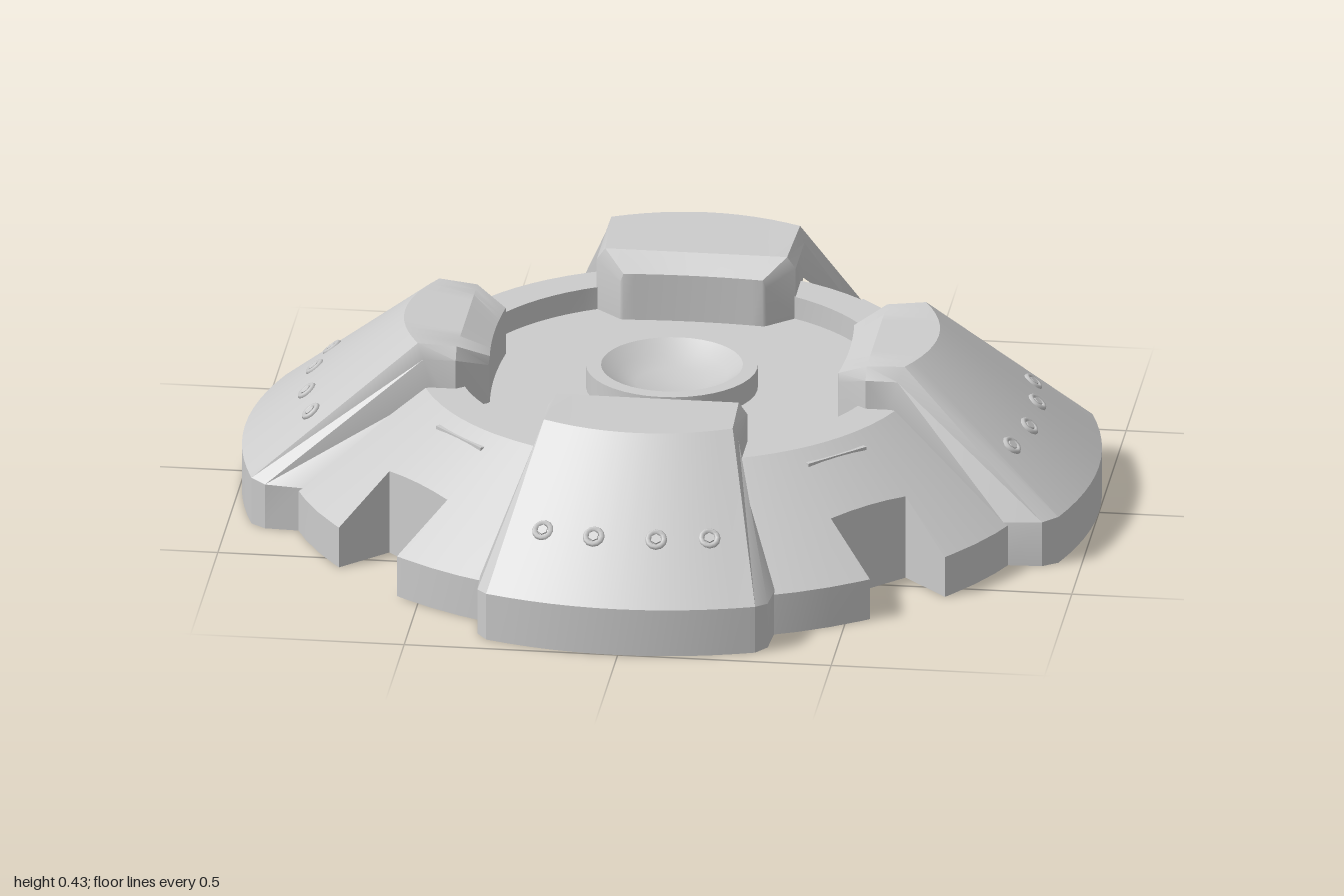
import * as THREE from 'three';
import { toCreasedNormals } from 'three/addons/utils/BufferGeometryUtils.js';

const material = new THREE.MeshStandardMaterial({ color: 0xcccccc });
const FLOOR = 0.265, RING_TOP = 0.32;
const coneY = (r) => 0.1 + (0.9 - r) * 0.71;

// Skin a grid of points: rows run along a profile, columns run across it
function skin(rows) {
  const pos = [];
  const area = (a, b, c) => b.clone().sub(a).cross(c.clone().sub(a)).length();
  const tri = (a, b, c) => {
    if (area(a, b, c) > 1e-7) for (const p of [a, b, c]) pos.push(p.x, p.y, p.z);
  };
  for (let i = 0; i < rows.length - 1; i++) {
    for (let j = 0; j < rows[i].length - 1; j++) {
      const a = rows[i][j], b = rows[i][j + 1], c = rows[i + 1][j + 1], d = rows[i + 1][j];
      tri(a, b, c);
      tri(a, c, d);
    }
  }
  const geo = new THREE.BufferGeometry();
  geo.setAttribute('position', new THREE.Float32BufferAttribute(pos, 3));
  return toCreasedNormals(geo, 0.45);
}

function add(parent, name, geometry) {
  const mesh = new THREE.Mesh(geometry, material);
  mesh.name = name;
  parent.add(mesh);
  return mesh;
}

// Conical base with a square notch on every diagonal and a sunken floor
function baseGeometry() {
  const half = 0.11, depth = 0.745, rim = 0.9;
  const midR = Math.hypot(half, depth);
  const midA = Math.atan2(half, depth), rimA = Math.asin(half / rim);
  const columns = [];
  const column = (rimAngle, rimR, midAngle, middleR) => columns.push({ rimAngle, rimR, midAngle, middleR });
  for (let q = 0; q < 4; q++) {
    const d = Math.PI / 4 + q * Math.PI / 2;
    column(d - rimA, rim, d - midA, midR);
    for (let k = 0; k <= 4; k++) {
      const a = Math.atan2(half * (k / 2 - 1), depth);
      column(d + a, depth / Math.cos(a), d + a, depth / Math.cos(a));
    }
    column(d + rimA, rim, d + midA, midR);
    const span = Math.PI / 2 - 2 * midA;
    for (let k = 0; k <= 14; k++) {
      const a = d + midA + span * k / 14;
      column(a, rim, a, midR);
    }
  }
  columns.push(columns[0]);
  const at = (a, r, y) => new THREE.Vector3(r * Math.sin(a), y, r * Math.cos(a));
  const profile = [
    (c) => at(c.midAngle, 0, 0),
    (c) => at(c.midAngle, c.middleR, 0),
    (c) => at(c.rimAngle, c.rimR, 0),
    (c) => at(c.rimAngle, c.rimR, 0.1),
    (c) => at(c.midAngle, c.middleR, coneY(c.middleR)),
    (c) => at(c.midAngle, 0.59, RING_TOP),
    (c) => at(c.midAngle, 0.5, RING_TOP),
    (c) => at(c.midAngle, 0.5, FLOOR),
    (c) => at(c.midAngle, 0, FLOOR),
  ];
  return skin(profile.map((f) => columns.map(f)));
}

// Raised buttress facing +z; top, crease and inner are radii, w is the head's half width
function buttress(top, crease, inner, w) {
  const group = new THREE.Group();
  const topY = 0.425;
  // y, radius at centre, radius at edge, half width, then shoulder and foot as [x, r, y]
  const stations = [
    [0, 0.78, 0.78, 0.3, [0.32, 0.78, 0], [0.345, 0.78, 0]],
    [0, 1, 0.945, 0.315, [0.34, 0.91, 0], [0.345, 0.82, 0]],
    [0.115, 1, 0.945, 0.315, [0.34, 0.91, 0.11], [0.345, 0.82, 0.107]],
    [topY, top, top - 0.055, w - 0.012, [w, top - 0.07, 0.39], [w, top - 0.09, 0.31]],
    [topY - 0.007, crease, crease, w - 0.02, [w, crease, 0.39], [w, crease, FLOOR]],
    [0.38, inner + 0.008, inner, w * 0.7, [w * 0.73, inner + 0.002, 0.36], [w * 0.74, inner + 0.004, FLOOR]],
    [FLOOR, inner + 0.008, inner, w * 0.7, [w * 0.73, inner + 0.002, FLOOR], [w * 0.74, inner + 0.004, FLOOR]],
  ];
  const side = ([x, r, y], s) => new THREE.Vector3(x * s, y, r);
  const rows = stations.map(([y, rc, re, hw, shoulder, foot]) => {
    const row = [side(foot, -1), side(shoulder, -1)];
    for (let k = 0; k <= 12; k++) {
      const u = k / 6 - 1;
      row.push(new THREE.Vector3(u * hw, y, rc - (rc - re) * u * u));
    }
    row.push(side(shoulder, 1), side(foot, 1));
    return row;
  });
  add(group, 'buttressBlock', skin(rows));

  // Row of hexagonal bolts on the sloping face
  const t = 0.4;
  const hw = THREE.MathUtils.lerp(0.315, w - 0.012, t);
  const tilt = Math.atan2(1 - top, topY - 0.115);
  for (const x of [-0.195, -0.073, 0.073, 0.195]) {
    const bolt = new THREE.Group();
    bolt.name = 'bolt';
    add(bolt, 'boltCollar', new THREE.TorusGeometry(0.019, 0.007, 6, 12));
    const head = add(bolt, 'boltHead', new THREE.CylinderGeometry(0.012, 0.012, 0.012, 6));
    head.rotation.x = Math.PI / 2;
    const u = x / hw;
    bolt.position.set(x, THREE.MathUtils.lerp(0.115, topY, t), THREE.MathUtils.lerp(1, top, t) - 0.055 * u * u);
    bolt.rotation.set(-tilt, u * 0.25, 0, 'YXZ');
    group.add(bolt);
  }
  return group;
}

export function createModel() {
  const model = new THREE.Group();
  model.name = 'turretBase';
  add(model, 'base', baseGeometry());

  // Central hub with a dished socket
  const hub = [[0.2, FLOOR], [0.2, RING_TOP], [0.165, RING_TOP], [0.13, 0.295], [0.085, 0.275], [0, 0.275]]
    .map(([r, y]) => new THREE.Vector2(r, y));
  add(model, 'hub', toCreasedNormals(new THREE.LatheGeometry(hub, 40), 0.5));

  // Four buttresses; the front and back pair is a little longer and wider
  for (let i = 0; i < 4; i++) {
    const b = i % 2 ? buttress(0.625, 0.48, 0.408, 0.21) : buttress(0.675, 0.445, 0.387, 0.233);
    b.name = ['front', 'left', 'back', 'right'][i] + 'Buttress';
    b.rotation.y = i * Math.PI / 2;
    model.add(b);
  }

  // Thin slit trim above each notch
  for (let i = 0; i < 4; i++) {
    const pivot = new THREE.Group();
    pivot.name = 'slitTrim';
    pivot.rotation.y = Math.PI / 4 + i * Math.PI / 2;
    const slit = add(pivot, 'slit', new THREE.BoxGeometry(0.17, 0.008, 0.02));
    slit.position.set(0, coneY(0.628), 0.618);
    model.add(pivot);
  }
  return model;
}
